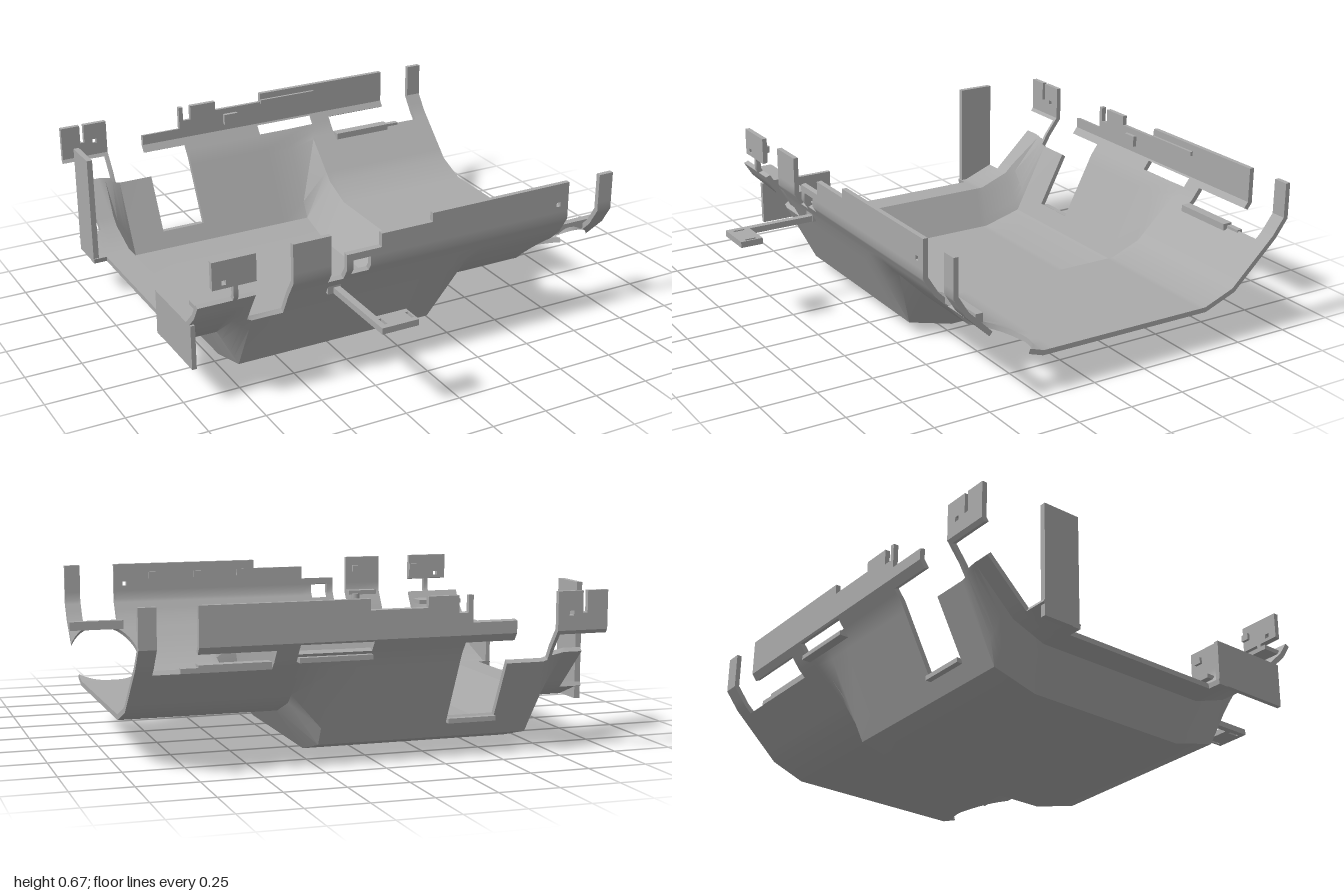
import * as THREE from 'three';
import { toCreasedNormals } from 'three/addons/utils/BufferGeometryUtils.js';

const THICK = 0.022;
// Cross-sections as [z, y], running from the back rim under the tray to the front rim
const SHALLOW = [[-1, .67], [-1, .51], [-.94, .43], [-.73, .23], [-.58, .172], [.24, .172], [.4, .225], [.6, .42], [.65, .5], [.65, .67]];
const DEEP = [[-1, .67], [-1, .51], [-.94, .43], [-.75, .055], [-.55, 0], [.2, 0], [.41, .055], [.6, .42], [.65, .5], [.65, .67]];
const LAST = DEEP.length - 1;

// Heights on the rims as positions along the cross-section
const back = y => (.67 - y) / .16;
const front = y => 8 + (y - .5) / .17;

// Cut-outs: [x0, x1, v0, v1] with v the position along the cross-section
const CUTS = [
  // left edge and back left corner
  [-.98, -.92, 4.04, 4.95], [-.98, -.95, 0, 3], [-.95, -.88, 1.2, 3], [-.88, -.745, 1.2, 2.1],
  [-.86, -.84, 0, back(.58)], [-.8, -.78, back(.59), back(.57)],
  // back wall
  [-.73, -.55, 0, 2.15], [-.55, -.34, 1.4, 2.8], [-.55, -.36, 0, back(.56)], [-.34, -.3, 0, back(.6)],
  [-.17, .07, 0, back(.625)], [.05, .35, 1.1, 1.6], [.44, .75, 1.35, 2.15], [.75, .91, 0, 2.15],
  // front wall
  [-.98, -.92, 7.8, 9], [-.92, -.83, 7.8, front(.55)], [-.81, -.73, 7.8, front(.55)], [-.73, -.57, 6.74, 9],
  [-.4, -.33, 7.4, 9], [-.33, -.17, front(.57), 9], [-.3, -.22, 7.65, front(.54)], [-.17, .07, front(.63), 9],
  [.75, .91, 6.6, 9],
  // screw holes
  [-.88, -.86, front(.565), front(.585)], [.69, .71, front(.565), front(.585)],
];
const HOLE = { x: .84, z: .4, r: .167 };

function profileAt(x) {
  const k = THREE.MathUtils.clamp(Math.min((x + .8) / .09, (.32 - x) / .12), 0, 1);
  return SHALLOW.map((p, i) => [0, 1].map(c => p[c] + (DEEP[i][c] - p[c]) * k));
}

// Move the cross-section inward by the wall thickness, with mitred corners
function inset(p) {
  const normal = i => {
    const dz = p[i + 1][0] - p[i][0], dy = p[i + 1][1] - p[i][1], l = Math.hypot(dz, dy);
    return [-dy / l, dz / l];
  };
  return p.map(([z, y], i) => {
    const a = normal(Math.max(i - 1, 0)), b = normal(Math.min(i, LAST - 1));
    const m = THICK / (1 + a[0] * b[0] + a[1] * b[1]);
    return [z + (a[0] + b[0]) * m, y + (a[1] + b[1]) * m];
  });
}

function pointOn(x, p, v) {
  const i = Math.min(Math.floor(v), LAST - 1), f = v - i;
  return [x, p[i][1] + (p[i + 1][1] - p[i][1]) * f, p[i][0] + (p[i + 1][0] - p[i][0]) * f];
}

function vAtZ(p, z) {
  let i = 2;
  while (i < 7 && p[i + 1][0] < z) i++;
  return i + (z - p[i][0]) / (p[i + 1][0] - p[i][0]);
}

const unique = a => a.sort((m, n) => m - n).filter((q, i) => !i || q - a[i - 1] > 1e-5);

// Closed shell on a grid of x stations and cross-section positions
function shellGeometry() {
  const xs = [-.98, -.8, -.71, .2, .32, .98], vs = DEEP.map((_, i) => i);
  for (const [a, b, c, d] of CUTS) { xs.push(a, b); vs.push(c, d); }
  for (let i = 0; i <= 24; i++) xs.push(Math.min(HOLE.x - HOLE.r * Math.cos(i / 24 * Math.PI), .98));
  const X = unique(xs), V = unique(vs), pos = [];
  const outer = X.map(profileAt), inner = outer.map(inset);
  const solid = (i, j) => {
    if (i < 0 || j < 0 || i > X.length - 2 || j > V.length - 2) return false;
    const x = (X[i] + X[i + 1]) / 2, v = (V[j] + V[j + 1]) / 2;
    return !CUTS.some(c => x > c[0] && x < c[1] && v > c[2] && v < c[3]);
  };
  const tri = (a, b, c) => {
    const u = new THREE.Vector3(...b).sub(new THREE.Vector3(...a));
    const w = new THREE.Vector3(...c).sub(new THREE.Vector3(...a));
    if (u.cross(w).length() > 1e-9) pos.push(...a, ...b, ...c);
  };
  const quad = (a, b, c, d) => { tri(a, b, c); tri(a, c, d); };
  const holeEnds = i => {
    const h = Math.sqrt(Math.max(HOLE.r ** 2 - (X[i] - HOLE.x) ** 2, 0));
    return [vAtZ(outer[i], HOLE.z - h), vAtZ(outer[i], HOLE.z + h)];
  };

  for (let i = 0; i < X.length - 1; i++) {
    const mid = (X[i] + X[i + 1]) / 2;
    const pierced = Math.abs(mid - HOLE.x) < HOLE.r;
    const ends = [holeEnds(i), holeEnds(i + 1)];
    // Columns through the round hole are made in two runs, one on each side of it
    const runs = pierced ? [ends.map(e => [0, e[0]]), ends.map(e => [e[1], LAST])] : [[[0, LAST], [0, LAST]]];
    for (const run of runs) for (let j = 0; j < V.length - 1; j++) {
      if (!solid(i, j)) continue;
      const v = (s, k) => THREE.MathUtils.clamp(V[k], run[s][0], run[s][1]);
      const corners = [[0, j], [1, j], [1, j + 1], [0, j + 1]];
      const o = corners.map(([s, k]) => pointOn(X[i + s], outer[i + s], v(s, k)));
      const n = corners.map(([s, k]) => pointOn(X[i + s], inner[i + s], v(s, k)));
      quad(...o);
      quad(n[3], n[2], n[1], n[0]);
      const cutStart = run[0][0] > V[j] && run[0][0] < V[j + 1] || run[1][0] > V[j] && run[1][0] < V[j + 1];
      const cutEnd = run[0][1] > V[j] && run[0][1] < V[j + 1] || run[1][1] > V[j] && run[1][1] < V[j + 1];
      const open = [!solid(i, j - 1) || cutStart, !solid(i + 1, j), !solid(i, j + 1) || cutEnd, !solid(i - 1, j)];
      open.forEach((edge, e) => {
        const f = (e + 1) % 4;
        if (edge) quad(o[f], o[e], n[e], n[f]);
      });
    }
  }
  const g = new THREE.BufferGeometry();
  g.setAttribute('position', new THREE.Float32BufferAttribute(pos, 3));
  return toCreasedNormals(g, .6);
}

export function createModel() {
  const model = new THREE.Group();
  const grey = new THREE.MeshStandardMaterial({ color: 0xaaaaaa });
  grey.name = 'plain grey';
  const add = (name, geometry) => {
    const mesh = new THREE.Mesh(geometry, grey);
    mesh.name = name;
    model.add(mesh);
    return mesh;
  };
  const box = (name, x0, x1, y0, y1, z0, z1) =>
    add(name, new THREE.BoxGeometry(x1 - x0, y1 - y0, z1 - z0))
      .position.set((x0 + x1) / 2, (y0 + y1) / 2, (z0 + z1) / 2);

  add('trayShell', shellGeometry());

  // Upright plates on the left edge
  box('tallLeftPlate', -.98, -.955, .175, .67, -.72, -.55);
  box('lowLeftPlate', -.98, -.96, .175, .37, .2, .56);

  // Ledges and lips beside the openings
  box('frontLeftLedge', -.96, -.74, .44, .46, .51, .6);
  box('holeBridge', .73, .98, .38, .42, .52, .553);
  box('backSlotLedge', .05, .35, .43, .45, -.98, -.935);
  box('backRightLip', .44, .73, .4, .43, -.91, -.865);
  box('backRightLipEnd', .73, .8, .4, .42, -.91, -.885);
  box('backNotchLip', -.55, -.34, .12, .14, -.81, -.785);
  box('backTab', -.13, -.06, .55, .6, -.995, -.96);
  box('backRimStrip', .07, .36, .62, .64, -.985, -.965);
  for (const x of [-.75, -.45, .14, .35, .57]) box('rimRib', x - .018, x + .018, .6, .63, .615, .635);

  // Small peg and clip on the front wall
  const peg = add('frontPeg', new THREE.CylinderGeometry(.02, .02, .06, 16));
  peg.position.set(-.435, .465, .59);
  box('frontClip', -.54, -.4, .49, .51, .585, .635);

  // Arm reaching forward with a slotted pad
  box('arm', -.365, -.335, .385, .412, .56, .905);
  box('armRoot', -.39, -.33, .385, .46, .56, .6);
  const pad = new THREE.Shape([[-.365, .9], [-.2, .9], [-.2, 1], [-.365, 1]].map(p => new THREE.Vector2(...p)));
  for (const x of [-.335, -.215]) {
    const slot = [[x - .005, .925], [x + .007, .925], [x + .007, .975], [x - .005, .975]];
    pad.holes.push(new THREE.Path(slot.map(p => new THREE.Vector2(...p))));
  }
  const padMesh = add('armPad', new THREE.ExtrudeGeometry(pad, { depth: .027, bevelEnabled: false }));
  padMesh.rotation.x = Math.PI / 2;
  padMesh.position.y = .412;
  return model;
}
